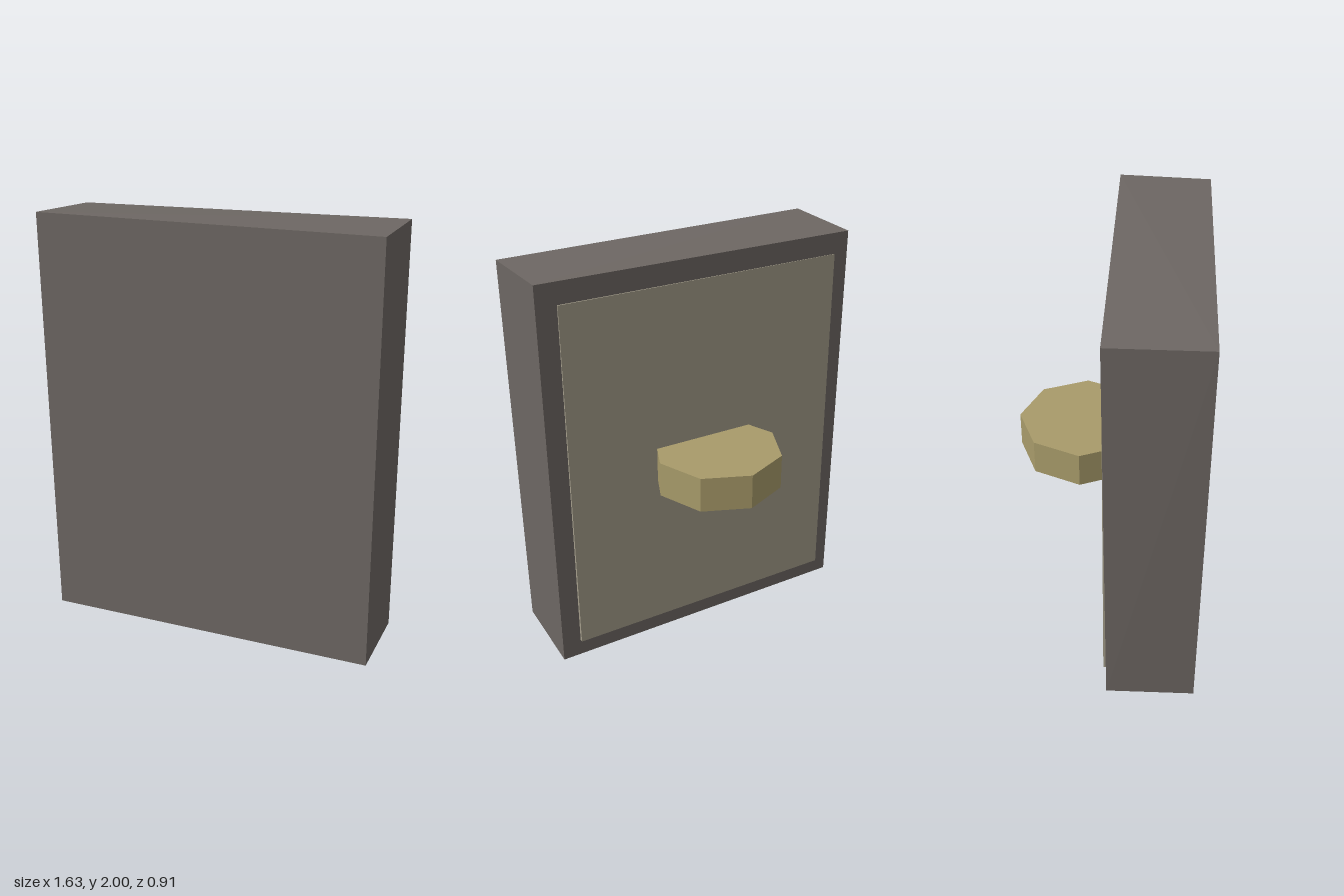
import * as THREE from 'three';

const paint = (color) => new THREE.MeshStandardMaterial({ color, flatShading: true });

function add(group, name, geometry, color) {
  const mesh = new THREE.Mesh(geometry, paint(color));
  mesh.name = name;
  group.add(mesh);
  return mesh;
}

// Slightly crooked slab: each box corner is moved to its own position.
// Corner order: x sign, then y sign, then z sign (minus first).
function crookedBox(corners) {
  const geometry = new THREE.BoxGeometry(1, 1, 1).toNonIndexed();
  const p = geometry.attributes.position;
  for (let i = 0; i < p.count; i++) {
    const k = (p.getX(i) > 0 ? 4 : 0) + (p.getY(i) > 0 ? 2 : 0) + (p.getZ(i) > 0 ? 1 : 0);
    p.setXYZ(i, ...corners[k]);
  }
  geometry.computeVertexNormals();
  return geometry;
}

export function createModel() {
  const model = new THREE.Group();
  model.name = 'wallSlab';

  // Main slab
  add(model, 'slab', crookedBox([
    [-0.81, 0.005, 0.012], [-0.81, 0.01, 0.44],
    [-0.81, 1.995, -0.004], [-0.82, 2, 0.44],
    [0.81, 0, 0.012], [0.81, 0.015, 0.45],
    [0.815, 1.995, 0], [0.815, 1.98, 0.453],
  ]), 0x6d6763);

  // Thin panel on the back
  const panel = add(model, 'backPanel', new THREE.BoxGeometry(1.45, 1.8, 0.04), 0xa39c8a);
  panel.position.set(-0.01, 0.99, 0.014);

  // Eight-sided ledge, partly sunk into the slab
  const ledge = add(model, 'ledge', new THREE.CylinderGeometry(0.315, 0.315, 0.175, 8), 0xa89b6a);
  ledge.position.set(0, 0.993, -0.14);

  return model;
}
